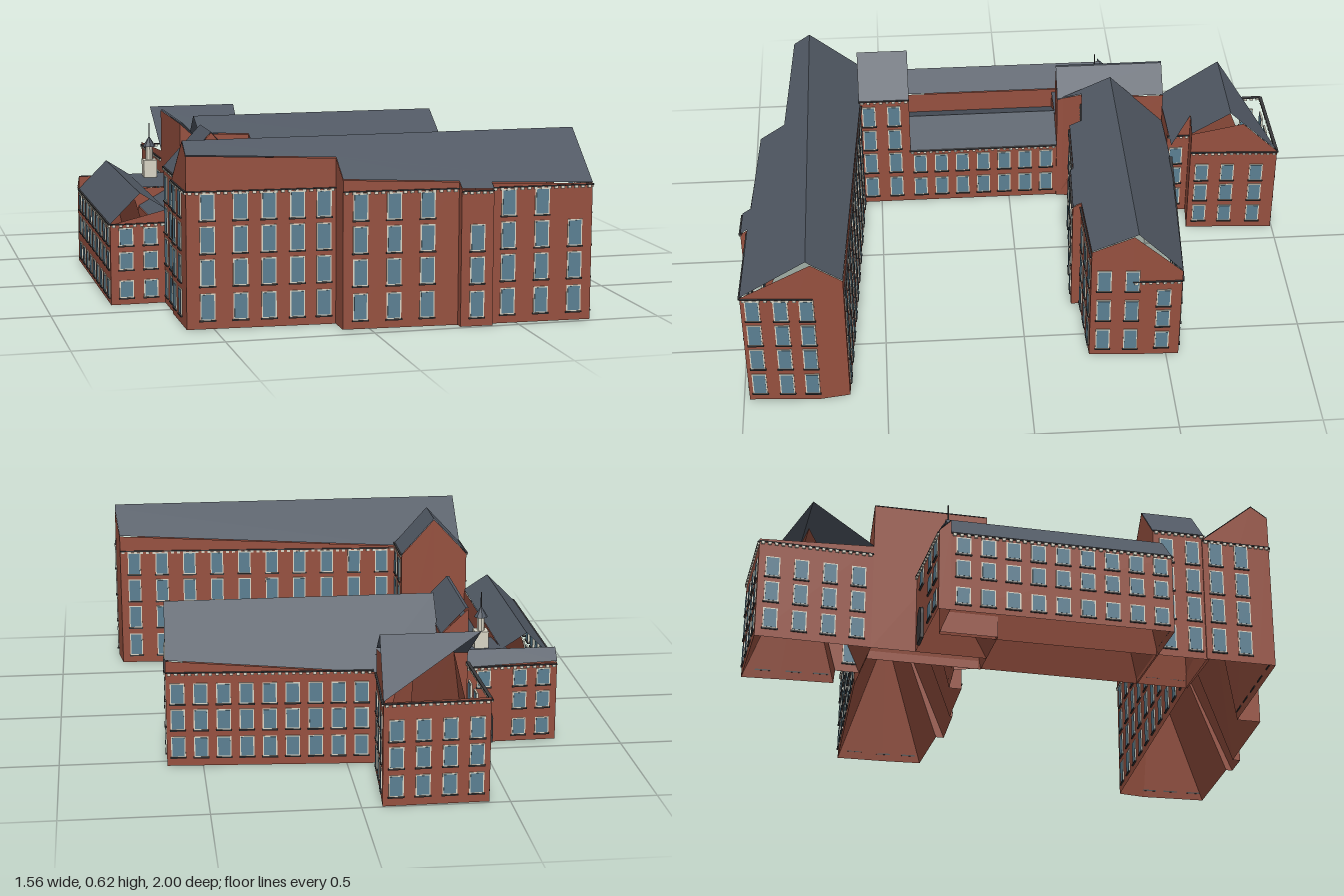
import * as THREE from 'three';
import { mergeGeometries } from 'three/addons/utils/BufferGeometryUtils.js';

const mat = (color, side = THREE.FrontSide) => new THREE.MeshStandardMaterial({ color, side, flatShading: true });
const brick = mat(0x96503f);
const slate = mat(0x505863, THREE.DoubleSide);
const glass = mat(0x5b7f92);
const trim = mat(0xd8d4c4);
const dark = mat(0x3a3a3c);

function mesh(name, geometry, material) {
  const m = new THREE.Mesh(geometry, material);
  m.name = name;
  return m;
}

function fromTriangles(coords) {
  const g = new THREE.BufferGeometry();
  g.setAttribute('position', new THREE.Float32BufferAttribute(coords, 3));
  g.computeVertexNormals();
  return g;
}

// Triangulates a plan outline into an upward-facing surface
function surface(outline, height) {
  const pts = outline.map(([x, z]) => new THREE.Vector2(x, z));
  const out = [];
  for (const tri of THREE.ShapeUtils.triangulateShape(pts, [])) {
    let [a, b, c] = tri.map((i) => outline[i]);
    const cross = (b[0] - a[0]) * (c[1] - a[1]) - (b[1] - a[1]) * (c[0] - a[0]);
    if (cross > 0) [b, c] = [c, b];
    for (const p of [a, b, c]) out.push(p[0], height(p), p[1]);
  }
  return out;
}

// Keeps the part of an outline on one side of the ridge line
function clip(outline, k, ridge, sign) {
  const out = [];
  outline.forEach((p, i) => {
    const q = outline[(i + 1) % outline.length];
    const dp = (p[k] - ridge) * sign, dq = (q[k] - ridge) * sign;
    if (dp >= 0) out.push(p);
    if (dp * dq < 0) {
      const t = dp / (dp - dq);
      out.push([p[0] + (q[0] - p[0]) * t, p[1] + (q[1] - p[1]) * t]);
    }
  });
  return out;
}

// One block: walls rising to the roof planes, a two-slope roof, a folded underside, windows, cornices.
// plan runs south side first, then east, north, west. axis is the one the roof slopes along.
// windows: [edge, columns or positions, row heights, window height]; cornices: [edge, height]
function building({ name, plan, roofPlan = plan, axis, ridge, top, slopes, windows = [], cornices = [] }) {
  const group = new THREE.Group();
  group.name = name;
  const k = axis === 'x' ? 0 : 1;
  const height = (p) => top - (p[k] < ridge ? slopes[0] * (ridge - p[k]) : slopes[1] * (p[k] - ridge));
  const ends = (edge) => [plan[edge], plan[(edge + 1) % plan.length]];

  // Underside folds up from the footprint to a line below the ridge
  const along = plan.map((p) => p[1 - k]);
  const lo = Math.min(...along), hi = Math.max(...along);
  const inset = Math.min(0.1, (hi - lo) * 0.3);
  const fold = (p) => {
    const s = THREE.MathUtils.clamp(p[1 - k], lo + inset, hi - inset);
    return k === 0 ? [ridge, top * 0.9, s] : [s, top * 0.9, ridge];
  };

  const walls = [], underside = [];
  plan.forEach((_, i) => {
    const [a, b] = ends(i);
    const a0 = [a[0], 0, a[1]], b0 = [b[0], 0, b[1]];
    const a1 = [a[0], height(a), a[1]], b1 = [b[0], height(b), b[1]];
    walls.push(...a0, ...b0, ...b1, ...a0, ...b1, ...a1);
    underside.push(...b0, ...a0, ...fold(a), ...b0, ...fold(a), ...fold(b));
  });
  group.add(mesh('brickWalls', fromTriangles(walls), brick));
  group.add(mesh('underside', fromTriangles(underside), brick));

  const roof = [];
  for (const sign of [-1, 1]) {
    const half = clip(roofPlan, k, ridge, sign);
    if (half.length > 2) roof.push(...surface(half, (p) => height(p) + 0.003));
  }
  group.add(mesh('slateRoof', fromTriangles(roof), slate));

  const parts = { frames: [], panes: [], sills: [], dentils: [], gutters: [] };
  const put = (list, edge, t, y, w, h, d) => {
    const [a, b] = ends(edge);
    const dx = b[0] - a[0], dz = b[1] - a[1];
    parts[list].push(new THREE.BoxGeometry(w, h, d)
      .rotateY(Math.atan2(-dz, dx))
      .translate(a[0] + dx * t, y, a[1] + dz * t));
  };
  for (const [edge, cols, rows, h] of windows) {
    const ts = Array.isArray(cols) ? cols : Array.from({ length: cols }, (_, i) => (i + 0.5) / cols);
    for (const t of ts) for (const y of rows) {
      put('frames', edge, t, y, 0.05, h, 0.006);
      put('panes', edge, t, y, 0.042, h - 0.008, 0.008);
      put('sills', edge, t, y - h / 2 - 0.002, 0.056, 0.005, 0.012);
    }
  }
  for (const [edge, y] of cornices) {
    const [a, b] = ends(edge);
    const len = Math.hypot(b[0] - a[0], b[1] - a[1]);
    const n = Math.max(2, Math.round(len / 0.024));
    put('gutters', edge, 0.5, y + 0.006, len, 0.004, 0.012);
    for (let i = 0; i < n; i++) put('dentils', edge, (i + 0.5) / n, y, 0.012, 0.008, 0.012);
  }
  const mats = { frames: trim, panes: glass, sills: dark, dentils: trim, gutters: dark };
  for (const key in parts) {
    if (parts[key].length) group.add(mesh(key, mergeGeometries(parts[key]), mats[key]));
  }
  return group;
}

const rect = (x0, x1, z0, z1) => [[x0, z1], [x1, z1], [x1, z0], [x0, z0]];

export function createModel() {
  const model = new THREE.Group();
  model.name = 'brickCourtyardBuilding';
  const four = [0.075, 0.19, 0.3, 0.41];
  const three = [0.07, 0.17, 0.265];
  const tall = [0.075, 0.21, 0.345];
  const low = [0.055, 0.155, 0.24];

  // Long front range with stepped south face
  model.add(building({
    name: 'frontRange', axis: 'z', ridge: 0.75, top: 0.62, slopes: [0.82, 0.67],
    plan: [[-0.59, 0.81], [-0.09, 0.84], [-0.09, 0.93], [0.3, 0.955], [0.3, 0.985], [0.41, 0.99],
      [0.41, 0.965], [0.76, 0.98], [0.775, 0.735], [0.76, 0.63], [-0.33, 0.565], [-0.59, 0.56], [-0.59, 0.75]],
    windows: [[0, [0.14, 0.36, 0.55, 0.74, 0.92], four, 0.09], [2, [0.15, 0.44, 0.73], four, 0.09],
      [4, 1, four.slice(0, 3), 0.09], [6, [0.17, 0.5], four, 0.09], [6, [0.83], four.slice(0, 3), 0.09],
      [7, [0.16, 0.55, 0.91], four, 0.09], [9, 10, four, 0.09], [11, 2, four, 0.09]],
    cornices: [[0, 0.455], [2, 0.455], [4, 0.45], [6, 0.455], [7, 0.455], [9, 0.455], [11, 0.455], [12, 0.455]],
  }));

  // Steep gabled link behind the front range
  model.add(building({
    name: 'gabledLink', axis: 'x', ridge: -0.455, top: 0.62, slopes: [1.08, 1.12],
    plan: [[-0.585, 0.57], [-0.455, 0.57], [-0.33, 0.57], [-0.33, 0.38], [-0.455, 0.38], [-0.585, 0.38]],
    windows: [[2, [0.19, 0.69], four, 0.09], [5, 2, four, 0.09]],
    cornices: [[2, 0.475], [5, 0.475]],
  }));

  // Low west range: gabled outer half and lower gabled courtyard half
  model.add(building({
    name: 'westRange', axis: 'x', ridge: -0.67, top: 0.388, slopes: [1, 0.65],
    plan: rect(-0.775, -0.58, -0.385, 0.385),
    windows: [[0, [0.28, 0.72], low, 0.062], [3, 9, low, 0.062]],
    cornices: [[0, 0.278], [3, 0.278]],
  }));
  model.add(building({
    name: 'courtyardRange', axis: 'x', ridge: -0.455, top: 0.312, slopes: [0.55, 0.56],
    plan: [[-0.58, 0.385], [-0.455, 0.385], [-0.33, 0.385], [-0.33, -0.185], [-0.455, -0.185], [-0.58, -0.185]],
    windows: [[2, 7, [0.07, 0.18], 0.08]],
    cornices: [[2, 0.234]],
  }));

  // Entrance block wrapping the north-west corner
  const entrance = building({
    name: 'entranceBlock', axis: 'z', ridge: -0.385, top: 0.332, slopes: [1, 0.1],
    plan: [[-0.6, -0.185], [-0.42, -0.185], [-0.42, -0.435], [-0.775, -0.425], [-0.775, -0.385], [-0.6, -0.385]],
    windows: [[2, [0.25], [0.24], 0.062], [2, [0.62, 0.86], low, 0.062]],
    cornices: [[2, 0.278]],
  });
  const arch = new THREE.Shape();
  arch.moveTo(-0.035, 0).lineTo(0.035, 0).lineTo(0.035, 0.09).absarc(0, 0.09, 0.035, 0, Math.PI);
  const door = mesh('archedDoor', new THREE.ExtrudeGeometry(arch, { depth: 0.012, bevelEnabled: false }), dark);
  door.position.set(-0.51, 0, -0.442);
  entrance.add(door);
  model.add(entrance);

  // Small cupola over the entrance
  const cupola = new THREE.Group();
  cupola.name = 'cupola';
  const layers = [
    ['cupolaBase', new THREE.BoxGeometry(0.05, 0.07, 0.05), 0.035, trim],
    ['cupolaLantern', new THREE.CylinderGeometry(0.014, 0.014, 0.05, 8), 0.095, trim],
    ['cupolaRoof', new THREE.ConeGeometry(0.025, 0.04, 8), 0.14, slate],
    ['cupolaFinial', new THREE.CylinderGeometry(0.002, 0.003, 0.06, 6), 0.18, dark],
  ];
  for (const [name, geo, y, material] of layers) cupola.add(mesh(name, geo.translate(0, y, 0), material));
  cupola.position.set(-0.51, 0.325, -0.345);
  model.add(cupola);

  // Rear range and the tall narrow block closing its west end
  model.add(building({
    name: 'rearRange', axis: 'z', ridge: -0.385, top: 0.548, slopes: [1.03, 0.47],
    plan: [[-0.33, -0.195], [-0.3, -0.275], [-0.14, -0.26], [-0.14, -0.215], [0.12, -0.205], [0.12, -0.195],
      [0.33, -0.185], [0.33, -0.215], [0.61, -0.225], [0.62, -0.37], [0.625, -0.545], [-0.09, -0.595], [-0.33, -0.59]],
    windows: [[1, 2, tall, 0.092], [3, 3, tall, 0.092], [5, 2, tall, 0.092], [7, 3, tall, 0.092],
      [8, [0.32, 1], tall, 0.092], [9, [0.64], three, 0.075], [10, 9, three, 0.075]],
    cornices: [[1, 0.445], [3, 0.445], [5, 0.445], [7, 0.445], [9, 0.335], [10, 0.335]],
  }));
  model.add(building({
    name: 'tallEndBlock', axis: 'x', ridge: -0.41, top: 0.55, slopes: [0, 1.05],
    plan: rect(-0.42, -0.325, -0.59, -0.185),
  }));

  // North wing, its roof left open at the north-west corner
  model.add(building({
    name: 'northWing', axis: 'z', ridge: -0.81, top: 0.535, slopes: [0.93, 0.66],
    plan: [[-0.42, -0.59], [-0.2, -0.595], [-0.2, -0.68], [-0.09, -0.67], [-0.08, -0.86], [-0.07, -0.995], [-0.43, -0.99]],
    roofPlan: [[-0.42, -0.59], [-0.09, -0.595], [-0.2, -0.68], [-0.09, -0.67], [-0.07, -0.995], [-0.425, -0.81]],
    windows: [[1, [0.42], three, 0.075], [3, [0.24, 0.75], three, 0.075], [4, [0.45], three, 0.075],
      [5, 4, three, 0.075], [6, 4, three, 0.075]],
    cornices: [[1, 0.352], [3, 0.352], [4, 0.352], [5, 0.352], [6, 0.352]],
  }));

  return model;
}
